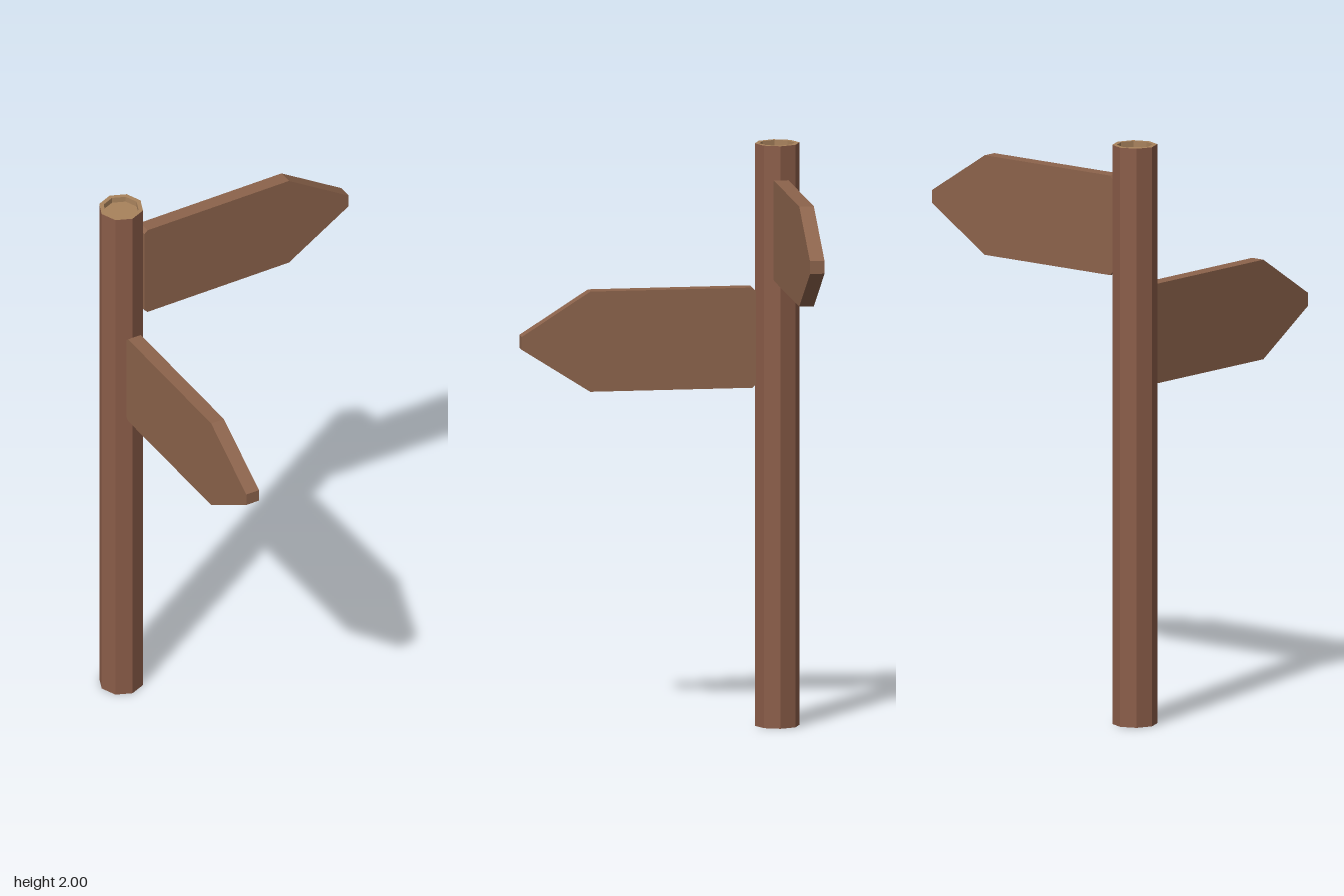
import * as THREE from 'three';

const POST = -0.4025; // post axis in x and z

const wood = (color) => new THREE.MeshStandardMaterial({ color, flatShading: true });

function part(name, geometry, material) {
  const mesh = new THREE.Mesh(geometry, material);
  mesh.name = name;
  return mesh;
}

function lathe(points) {
  return new THREE.LatheGeometry(points.map(([r, y]) => new THREE.Vector2(r, y)), 8);
}

// Pointed board running along +x away from the post axis
function boardGeometry() {
  const start = 0.077, shoulder = 0.645, tip = 0.88, half = 0.172, nose = 0.022, cut = 0.012;
  const shape = new THREE.Shape([
    [start, -half + cut], [start + cut, -half], [shoulder, -half], [tip, -nose],
    [tip, nose], [shoulder, half], [start + cut, half], [start, half - cut],
  ].map(([x, y]) => new THREE.Vector2(x, y)));
  const depth = 0.05;
  return new THREE.ExtrudeGeometry(shape, { depth, bevelEnabled: false }).translate(0, 0, -depth / 2);
}

export function createModel() {
  const model = new THREE.Group();
  model.name = 'signpost';

  // Octagonal post and its rim around a shallow recess
  const R = 0.0765, r = 0.061, floor = 1.98;
  const post = part('post', lathe([[0, 0], [R, 0], [R, 2]]), wood(0x8a5c48));
  const rim = part('postTop', lathe([[R, 2], [r, 2], [r, floor], [0, floor]]), wood(0xa8825c));
  for (const mesh of [post, rim]) {
    mesh.position.set(POST, 0, POST);
    model.add(mesh);
  }

  // Two direction boards at right angles
  const geometry = boardGeometry();
  const material = wood(0x8c634b);
  for (const [name, y, turn] of [['upperBoard', 1.713, 0], ['lowerBoard', 1.337, -Math.PI / 2]]) {
    const board = part(name, geometry, material);
    board.position.set(POST, y, POST);
    board.rotation.y = turn;
    model.add(board);
  }

  return model;
}
